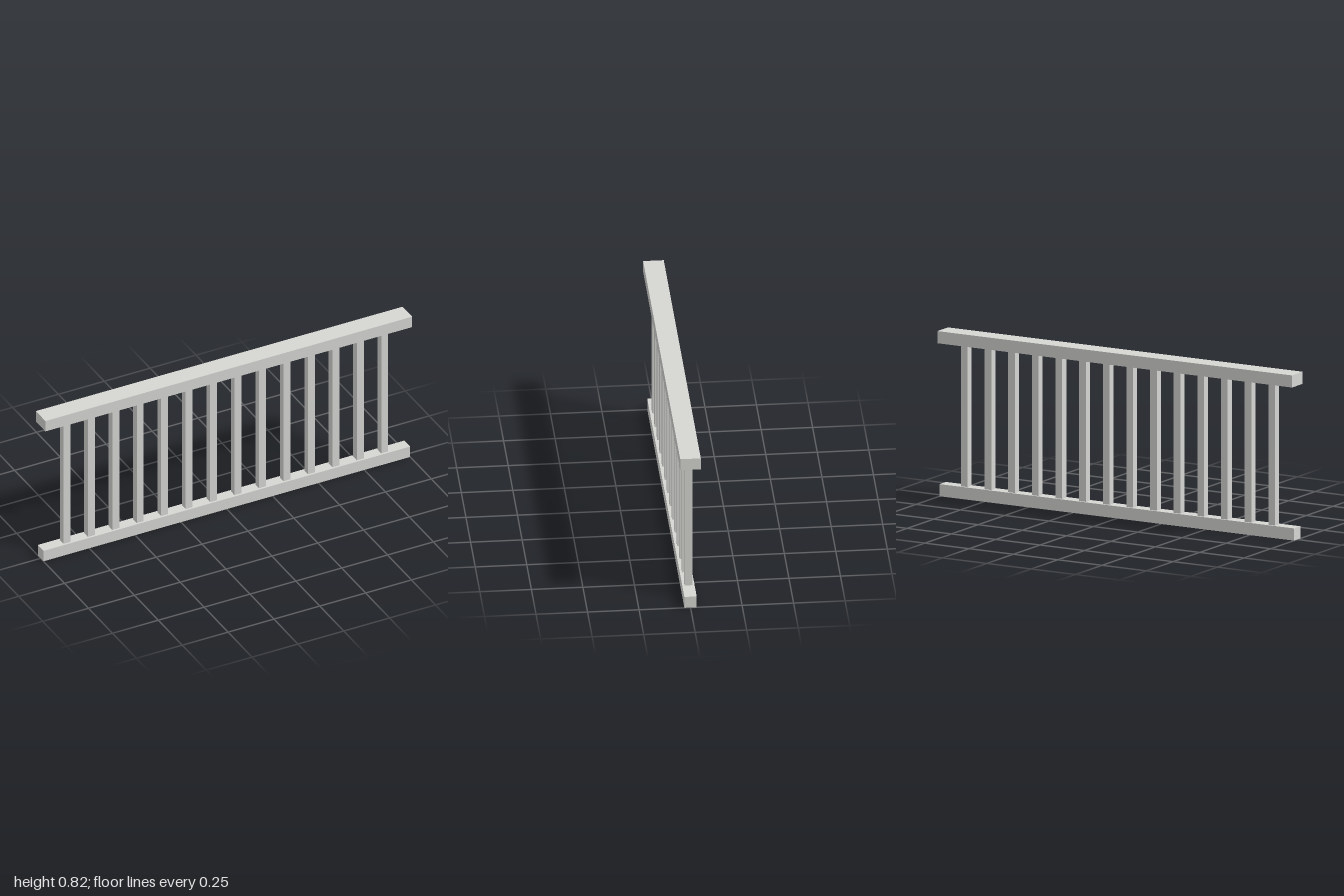
import * as THREE from 'three';

export function createModel() {
  const railing = new THREE.Group();
  railing.name = 'railing';
  const paint = new THREE.MeshStandardMaterial({ color: 0xd6d6d3 });
  paint.name = 'light grey paint';

  function addBox(name, width, height, depth, x, bottom) {
    const mesh = new THREE.Mesh(new THREE.BoxGeometry(width, height, depth), paint);
    mesh.name = name;
    mesh.position.set(x, bottom + height / 2, 0);
    railing.add(mesh);
  }

  // Horizontal rails: the handrail is wider than the foot rail
  addBox('bottomRail', 2, 0.06, 0.06, 0, 0);
  addBox('handrail', 2, 0.06, 0.1, 0, 0.76);

  // Evenly spaced square balusters between the rails
  const count = 14;
  const spacing = 2 / (count + 1);
  for (let i = 1; i <= count; i++) {
    addBox(`baluster${i}`, 0.038, 0.7, 0.038, -1 + i * spacing, 0.06);
  }

  return railing;
}
